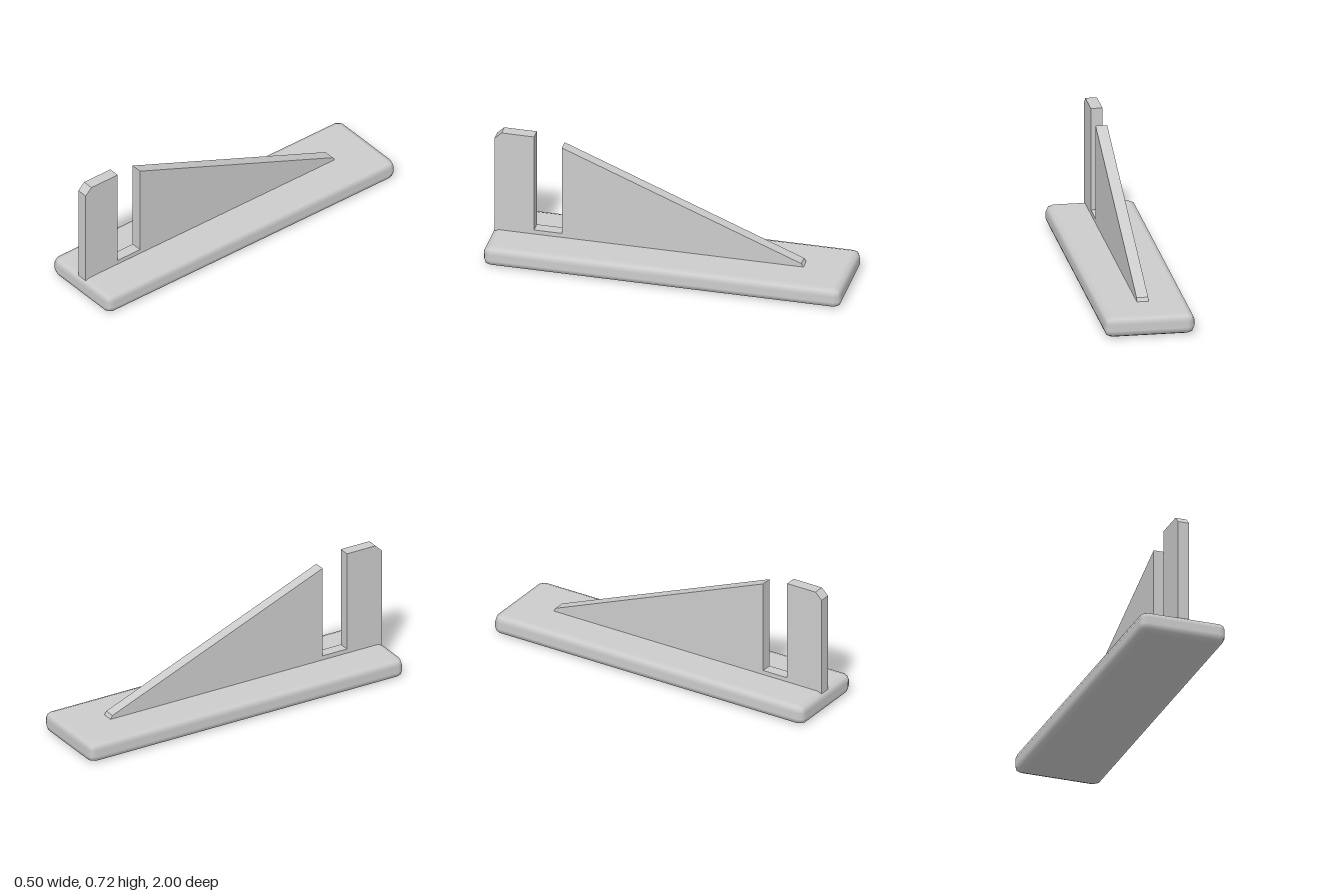
import * as THREE from 'three';
import { RoundedBoxGeometry } from 'three/addons/geometries/RoundedBoxGeometry.js';

export function createModel() {
  const group = new THREE.Group();
  const grey = new THREE.MeshStandardMaterial({ color: 0xcccccc });
  grey.name = 'light grey';

  // Flat base slab with softly rounded edges
  const base = new THREE.Mesh(new RoundedBoxGeometry(0.496, 0.117, 2, 1, 0.041), grey);
  base.name = 'base';
  base.position.y = 0.0585;
  group.add(base);

  // Upright fin: front post, slot and sloping rear brace, drawn as (z, y)
  const finWidth = 0.064;
  const profile = [
    [0.985, 0.107], [0.985, 0.683], [0.945, 0.722], [0.763, 0.722],
    [0.763, 0.142], [0.608, 0.142], [0.608, 0.675], [-0.73, 0.137],
    [-0.748, 0.107],
  ].map(([z, y]) => new THREE.Vector2(z, y));
  const finGeometry = new THREE.ExtrudeGeometry(new THREE.Shape(profile), {
    depth: finWidth, bevelEnabled: false,
  });
  finGeometry.translate(0, 0, -finWidth / 2);
  finGeometry.rotateY(-Math.PI / 2);
  const fin = new THREE.Mesh(finGeometry, grey);
  fin.name = 'slottedFin';
  group.add(fin);

  return group;
}
